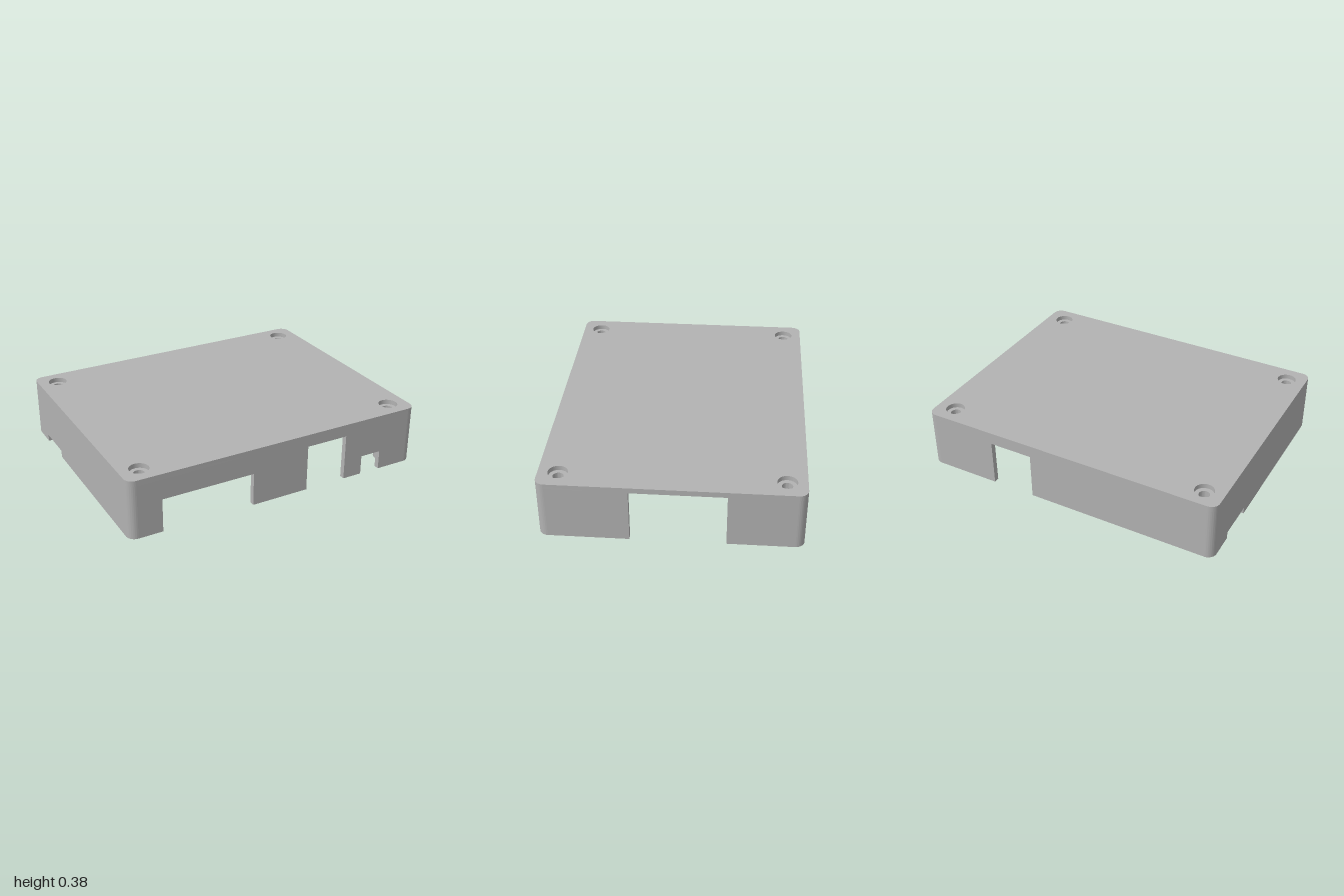
import * as THREE from 'three';
import { toCreasedNormals } from 'three/addons/utils/BufferGeometryUtils.js';

const W = 1, D = 0.79, H = 0.38;      // half width, half depth, height
const T = 0.035, R = 0.055;           // wall thickness, corner radius
const CEIL = H - T;
const SCREWS = [-0.875, 0.875].flatMap(x => [-0.67, 0.67].map(z => [x, z]));

export function createModel() {
  const group = new THREE.Group();
  const plastic = new THREE.MeshStandardMaterial({ color: 0xb2b2b2 });
  plastic.name = 'grey plastic';

  const add = (name, geometry, x = 0, y = 0, z = 0) => {
    const mesh = new THREE.Mesh(toCreasedNormals(geometry, 0.6), plastic);
    mesh.name = name;
    mesh.position.set(x, y, z);
    group.add(mesh);
    return mesh;
  };
  const extrude = (shape, depth) =>
    new THREE.ExtrudeGeometry(shape, { depth, bevelEnabled: false, curveSegments: 16 });

  // Top plate with rounded corners and four screw head recesses
  const plate = new THREE.Shape();
  plate.absarc(W - R, D - R, R, 0, Math.PI / 2);
  plate.absarc(-W + R, D - R, R, Math.PI / 2, Math.PI);
  plate.absarc(-W + R, -D + R, R, Math.PI, Math.PI * 1.5);
  plate.absarc(W - R, -D + R, R, Math.PI * 1.5, Math.PI * 2);
  plate.closePath();
  for (const [x, z] of SCREWS) {
    plate.holes.push(new THREE.Path().absarc(x, -z, 0.06, 0, Math.PI * 2, true));
  }
  add('topPlate', extrude(plate, T).rotateX(-Math.PI / 2), 0, CEIL, 0);

  // Upright wall from u = a to b, with port notches [from, to, height] in its lower edge
  const wall = (a, b, notches = []) => {
    const s = new THREE.Shape();
    s.moveTo(a, 0);
    for (const [from, to, h] of notches) {
      s.lineTo(from, 0);
      s.lineTo(from, h);
      s.lineTo(to, h);
      s.lineTo(to, 0);
    }
    s.lineTo(b, 0);
    s.lineTo(b, CEIL);
    s.lineTo(a, CEIL);
    s.closePath();
    return extrude(s, T);
  };
  const sideWall = (...args) => wall(...args).rotateY(-Math.PI / 2);
  const wx = W - R, wz = D - R;

  add('frontWall', wall(-wx, wx, [[-0.79, -0.19, 0.215], [0.19, 0.47, 0.3], [0.6, 0.74, 0.125]]), 0, 0, D - T);
  add('backWall', wall(-wx, wx, [[0.235, 0.52, 0.3]]), 0, 0, -D);
  add('leftWallRear', sideWall(-wz, -0.33), W);
  add('leftWallFront', sideWall(0.245, wz), W);
  add('rightWall', sideWall(-wz, wz, [[-0.58, -0.325, 0.045]]), -W + T);

  // Rounded corner posts joining the walls
  const corner = new THREE.Shape();
  corner.absarc(0, 0, R, 0, Math.PI / 2);
  corner.absarc(0, 0, R - T, Math.PI / 2, 0, true);
  corner.closePath();
  [[wx, -wz], [-wx, -wz], [-wx, wz], [wx, wz]].forEach(([x, z], i) => {
    const post = add('cornerWall', extrude(corner, CEIL).rotateX(-Math.PI / 2), x, 0, z);
    post.rotation.y = i * Math.PI / 2;
  });

  // Hollow screw bosses hanging from the plate
  const profile = [[0.068, 0], [0.068, 0.35], [0.033, 0.35], [0.033, 0], [0.068, 0]]
    .map(([r, y]) => new THREE.Vector2(r, y));
  for (const [x, z] of SCREWS) add('screwBoss', new THREE.LatheGeometry(profile, 40), x, 0, z);

  return group;
}
